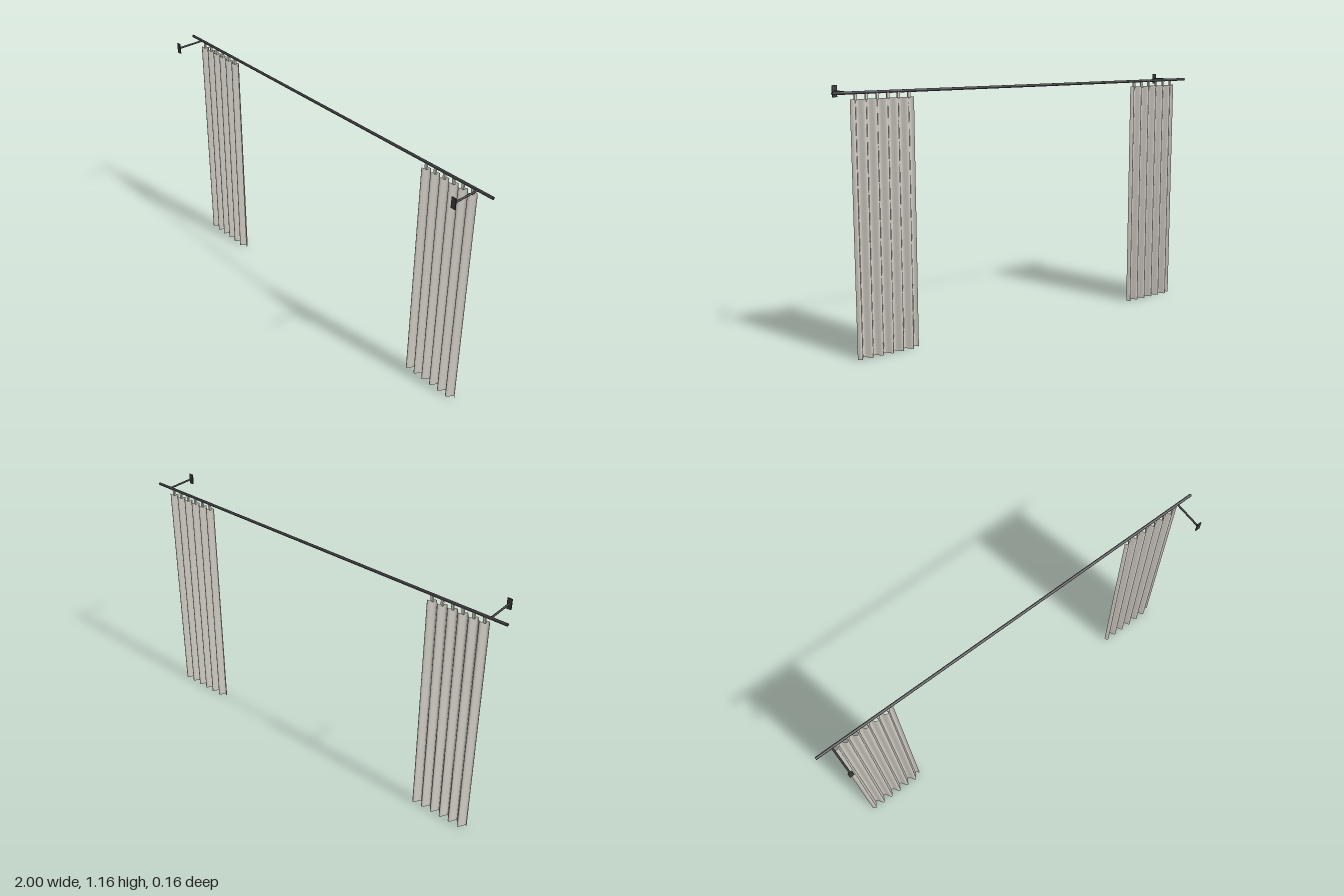
import * as THREE from 'three';

const ROD_Y = 1.134, ROD_Z = -0.063;
const TOP = 1.108, WIDTH = 0.3, FOLDS = 6, PITCH = WIDTH / FOLDS;

const metal = new THREE.MeshStandardMaterial({ color: 0x3a3a3c });
const fabric = new THREE.MeshStandardMaterial({ color: 0xd2cfc5, side: THREE.DoubleSide });

function add(parent, name, geometry, material, x, y, z) {
  const mesh = new THREE.Mesh(geometry, material);
  mesh.name = name;
  mesh.position.set(x, y, z);
  parent.add(mesh);
  return mesh;
}

// Sheet pleated along x, with folds that widen slightly towards the hem
function pleatedSheet() {
  const geo = new THREE.PlaneGeometry(WIDTH, TOP, FOLDS * 16, 12);
  const p = geo.attributes.position;
  for (let i = 0; i < p.count; i++) {
    const drop = 0.5 - p.getY(i) / TOP;
    const phase = (p.getX(i) / WIDTH + 0.5) * FOLDS * Math.PI * 2;
    p.setZ(i, (0.012 + 0.0035 * drop) * Math.sin(phase));
  }
  geo.computeVertexNormals();
  return geo;
}

function createCurtain(name, x) {
  const curtain = new THREE.Group();
  curtain.name = name;
  add(curtain, 'curtainPanel', pleatedSheet(), fabric, 0, TOP / 2, 0);
  // Hanging tabs, one in each fold
  const tab = new THREE.BoxGeometry(0.012, ROD_Y - TOP + 0.006, 0.008);
  for (let i = 0; i < FOLDS; i++) {
    const tx = -WIDTH / 2 + (i + 0.5) * PITCH;
    add(curtain, 'hangingTab', tab, fabric, tx, (ROD_Y + TOP) / 2 - 0.003, 0);
  }
  curtain.position.set(x, 0, ROD_Z);
  return curtain;
}

// Wall bracket: an arm from the rod to a small upright plate
function createBracket(name, x) {
  const bracket = new THREE.Group();
  bracket.name = name;
  const length = 0.08 - ROD_Z;
  const arm = new THREE.CylinderGeometry(0.0045, 0.0045, length, 16).rotateX(Math.PI / 2);
  add(bracket, 'bracketArm', arm, metal, 0, 0, length / 2);
  add(bracket, 'wallPlate', new THREE.BoxGeometry(0.022, 0.05, 0.005), metal, 0, 0, length - 0.0025);
  bracket.position.set(x, ROD_Y, ROD_Z);
  return bracket;
}

export function createModel() {
  const model = new THREE.Group();
  model.name = 'curtainSet';
  const rod = new THREE.CylinderGeometry(0.0065, 0.0065, 2, 24).rotateZ(Math.PI / 2);
  add(model, 'curtainRod', rod, metal, 0, ROD_Y, ROD_Z);
  for (const [side, s] of [['left', 1], ['right', -1]]) {
    model.add(createCurtain(side + 'Curtain', s * 0.772));
    model.add(createBracket(side + 'Bracket', s * 0.922));
  }
  return model;
}
